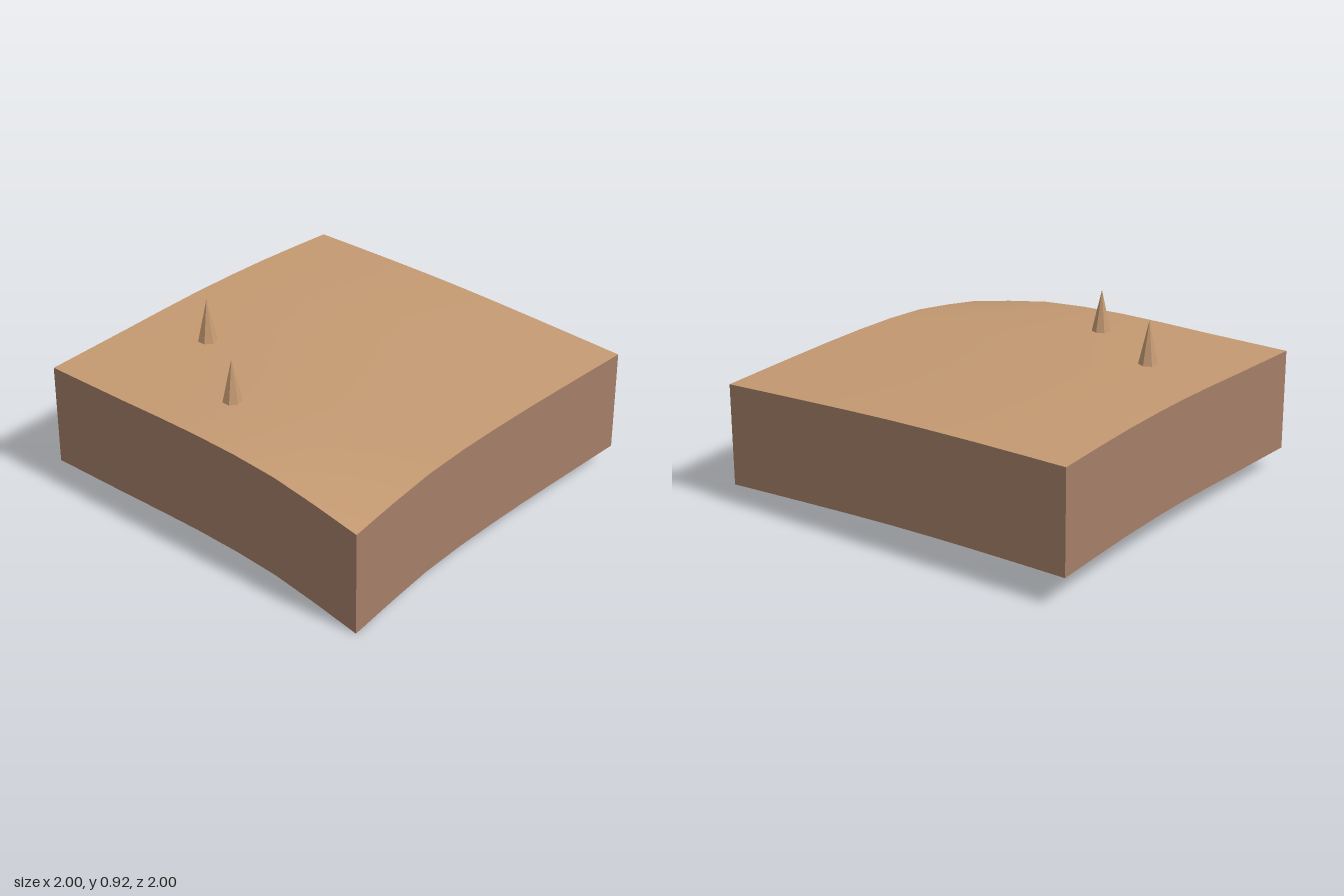
import * as THREE from 'three';

// Ground heights every half unit: rows run back to front, columns run from -x to +x
const HEIGHTS = [
  [0.69, 0.69, 0.682, 0.662, 0.638],
  [0.705, 0.709, 0.695, 0.672, 0.645],
  [0.70, 0.703, 0.692, 0.67, 0.645],
  [0.675, 0.678, 0.675, 0.655, 0.62],
  [0.65, 0.652, 0.655, 0.627, 0.535],
];
const WALL_HEIGHT = 0.535;
const SEGMENTS = 8;

// Smooth curve through five evenly spaced values, t from -1 to 1
function smoothSample(v, t) {
  const u = THREE.MathUtils.clamp((t + 1) * 2, 0, 4);
  const i = Math.min(3, Math.floor(u));
  const f = u - i;
  const b = v[i], c = v[i + 1];
  const a = i > 0 ? v[i - 1] : 2 * b - c;
  const d = i < 3 ? v[i + 2] : 2 * c - b;
  return b + 0.5 * f * (c - a + f * (2 * a - 5 * b + 4 * c - d + f * (3 * (b - c) + d - a)));
}

function groundHeight(x, z) {
  return smoothSample(HEIGHTS.map((row) => smoothSample(row, x)), z);
}

// Replace each vertex height by a rule
function setHeights(geometry, rule) {
  const p = geometry.attributes.position;
  for (let i = 0; i < p.count; i++) p.setY(i, rule(p.getX(i), p.getY(i), p.getZ(i)));
  geometry.computeVertexNormals();
  return geometry;
}

export function createModel() {
  const model = new THREE.Group();
  model.name = 'terrainTile';

  const sand = new THREE.MeshStandardMaterial({ color: 0xc49a72, side: THREE.DoubleSide });
  sand.name = 'sand';
  const earth = new THREE.MeshStandardMaterial({ color: 0xa57f69, side: THREE.DoubleSide });
  earth.name = 'earth';
  const rock = new THREE.MeshStandardMaterial({ color: 0xc49a72, flatShading: true });
  rock.name = 'sandRock';

  const add = (name, geometry, material) => {
    const mesh = new THREE.Mesh(geometry, material);
    mesh.name = name;
    model.add(mesh);
    return mesh;
  };

  // Gently rolling ground, falling away at one corner
  const ground = new THREE.PlaneGeometry(2, 2, SEGMENTS, SEGMENTS).rotateX(-Math.PI / 2);
  add('ground', setHeights(ground, (x, y, z) => groundHeight(x, z)), sand);

  // Four thin side walls that follow the ground edge; the underside is open
  ['frontWall', 'rightWall', 'backWall', 'leftWall'].forEach((name, k) => {
    const wall = new THREE.PlaneGeometry(2, 1, SEGMENTS, 1)
      .translate(0, 0, 1)
      .rotateY((k * Math.PI) / 2);
    setHeights(wall, (x, y, z) => groundHeight(x, z) - (y > 0 ? 0 : WALL_HEIGHT));
    add(name, wall, earth);
  });

  // Two seven-sided rock spikes
  for (const [x, y, z] of [[-0.585, 0.69, 0.333], [-0.085, 0.665, 0.667]]) {
    const spike = add('rockSpike', new THREE.ConeGeometry(0.052, 0.228, 7), rock);
    spike.position.set(x, y + 0.114, z);
    spike.rotation.y = Math.PI;
  }

  return model;
}
